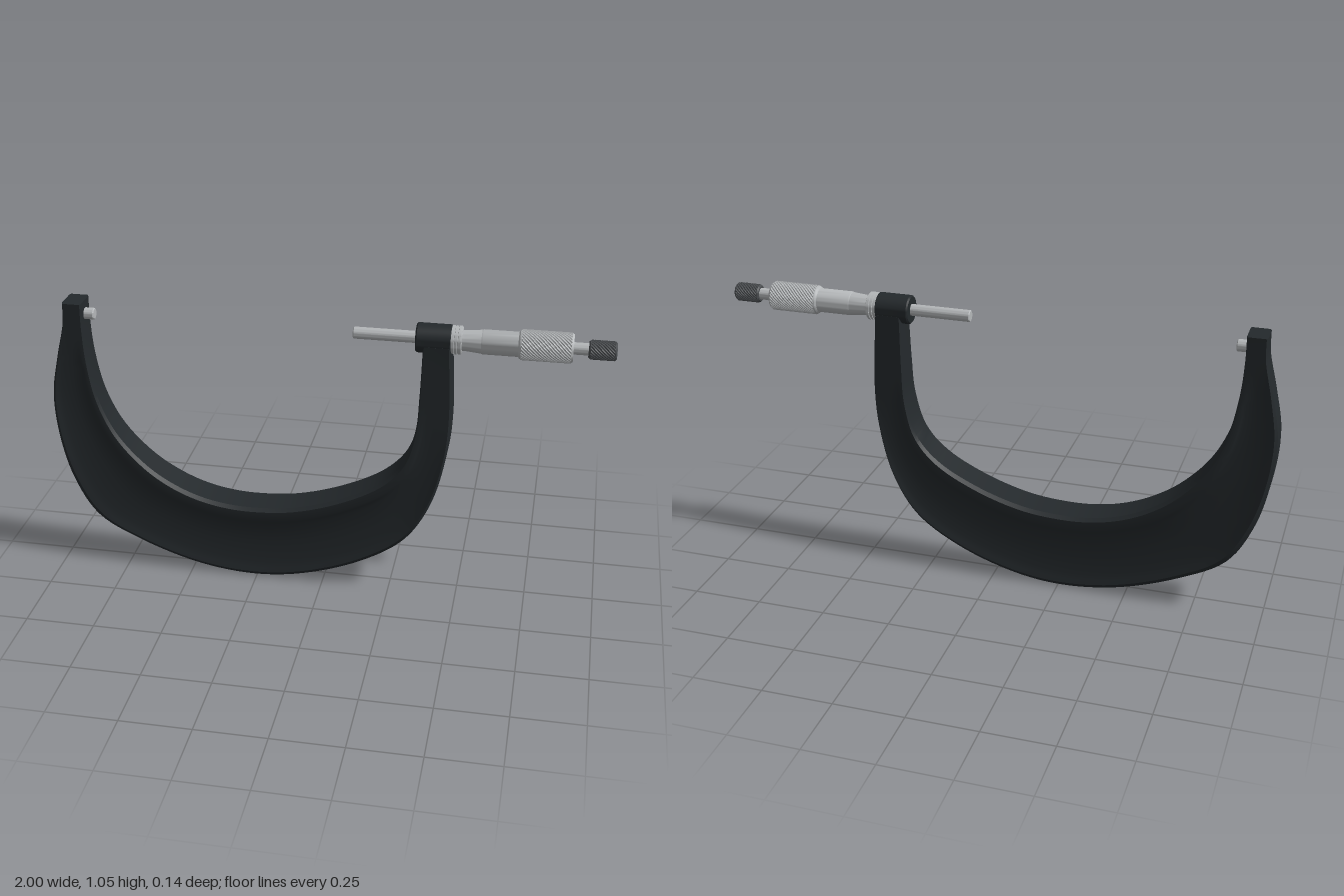
import * as THREE from 'three';
import { toCreasedNormals } from 'three/addons/utils/BufferGeometryUtils.js';

const AXIS_Y = 0.995;
const black = new THREE.MeshStandardMaterial({ color: 0x24292c });
const steel = new THREE.MeshStandardMaterial({ color: 0xb4b7b9 });
const darkGrey = new THREE.MeshStandardMaterial({ color: 0x4a4d50 });

// Paired stations along the bow: outer x, outer y, inner x, inner y
const STATIONS = [
  [-0.94, 1.045, -0.87, 1.045],
  [-0.943, 0.97, -0.87, 0.95],
  [-0.973, 0.84, -0.86, 0.82],
  [-1.0, 0.69, -0.828, 0.67],
  [-0.99, 0.52, -0.765, 0.54],
  [-0.945, 0.345, -0.66, 0.425],
  [-0.86, 0.2, -0.56, 0.358],
  [-0.7, 0.106, -0.46, 0.316],
  [-0.47, 0.026, -0.36, 0.295],
  [-0.257, 0.002, -0.257, 0.29],
  [-0.07, 0.026, -0.11, 0.304],
  [0.144, 0.104, 0.064, 0.358],
  [0.3, 0.21, 0.215, 0.44],
  [0.39, 0.355, 0.295, 0.53],
  [0.442, 0.55, 0.333, 0.66],
  [0.455, 0.71, 0.342, 0.79],
  [0.444, 0.98, 0.348, 0.98],
];

// Half section from inner to outer edge: position across, depth factor, recess factor
const SECTION = [
  [0, 0.8, 0], [0.04, 1, 0], [0.15, 1, 0], [0.19, 1, 0.4], [0.25, 1, 1],
  [0.5, 1, 1], [0.8, 1, 1], [0.88, 1, 0.4], [0.94, 1, 0], [1, 0.8, 0],
];

function frameGeometry(steps = 96) {
  const curve = (i) => new THREE.CatmullRomCurve3(
    STATIONS.map((s) => new THREE.Vector3(s[i], s[i + 1], 0)));
  const outer = curve(0), inner = curve(2);
  const loop = [
    ...SECTION.map((p) => [...p, 1]),
    ...SECTION.slice().reverse().map((p) => [...p, -1]),
  ];
  const n = loop.length, positions = [], index = [];
  for (let k = 0; k <= steps; k++) {
    const u = k / steps;
    const o = outer.getPoint(u), i = inner.getPoint(u);
    const half = 0.07 - 0.02 * THREE.MathUtils.smoothstep((o.y + i.y) / 2, 0.15, 1.05);
    const recess = 0.01 * THREE.MathUtils.smoothstep(Math.min(u, 1 - u), 0.06, 0.25);
    for (const [t, depth, cut, side] of loop) {
      const p = i.clone().lerp(o, t);
      positions.push(p.x, p.y, side * (half * depth - recess * cut));
    }
  }
  for (let k = 0; k < steps; k++) {
    for (let j = 0; j < n; j++) {
      const a = k * n + j, b = k * n + (j + 1) % n;
      index.push(a, b, b + n, a, b + n, a + n);
    }
  }
  // End caps
  const last = steps * n;
  for (let j = 1; j < n - 1; j++) {
    index.push(0, j + 1, j, last, last + j, last + j + 1);
  }
  const g = new THREE.BufferGeometry();
  g.setAttribute('position', new THREE.Float32BufferAttribute(positions, 3));
  g.setIndex(index);
  return toCreasedNormals(g, 0.5);
}

// Turned part along the x axis from [x, radius] points
function turned(name, points, material, segments = 40) {
  const profile = points.map(([x, r]) => new THREE.Vector2(r, x));
  const g = new THREE.LatheGeometry(profile, segments);
  g.rotateZ(-Math.PI / 2);
  const mesh = new THREE.Mesh(toCreasedNormals(g, 0.5), material);
  mesh.name = name;
  mesh.position.y = AXIS_Y;
  return mesh;
}

function rod(name, x0, x1, r, material, bevel = 0.003) {
  return turned(name, [[x0, 0], [x0, r - bevel], [x0 + bevel, r],
    [x1 - bevel, r], [x1, r - bevel], [x1, 0]], material);
}

// Grip with a diamond pattern of small raised points
function knurl(name, x0, x1, r, material, around, rows) {
  const g = new THREE.CylinderGeometry(r, r, x1 - x0, around, rows, true);
  const p = g.attributes.position;
  for (let k = 0; k < p.count; k++) {
    const row = Math.floor(k / (around + 1)), col = k % (around + 1);
    const s = (row + col) % 2 ? 1 : 1 - 0.003 / r;
    p.setX(k, p.getX(k) * s);
    p.setZ(k, p.getZ(k) * s);
  }
  g.rotateZ(-Math.PI / 2);
  const mesh = new THREE.Mesh(toCreasedNormals(g, 0.05), material);
  mesh.name = name;
  mesh.position.set((x0 + x1) / 2, AXIS_Y, 0);
  return mesh;
}

export function createModel() {
  const model = new THREE.Group();
  model.name = 'micrometer';

  const frame = new THREE.Mesh(frameGeometry(), black);
  frame.name = 'frame';
  model.add(frame);

  // Measuring faces and spindle support
  model.add(
    rod('anvil', -0.89, -0.835, 0.021, steel),
    rod('spindle', 0.1, 0.34, 0.021, steel),
    rod('hub', 0.32, 0.445, 0.052, black, 0.005),
  );

  // Lock ring with grooves
  const ring = [[0.44, 0], [0.44, 0.05]];
  for (let k = 0; k < 3; k++) {
    const x = 0.443 + k * 0.012;
    ring.push([x, 0.05], [x + 0.008, 0.05], [x + 0.009, 0.047], [x + 0.011, 0.047]);
  }
  ring.push([0.479, 0.046], [0.48, 0]);
  model.add(turned('lockRing', ring, steel));

  // Sleeve and thimble
  model.add(
    turned('sleeve', [[0.47, 0.036], [0.49, 0.036], [0.545, 0.041], [0.56, 0.041]], steel),
    turned('thimble', [[0.545, 0], [0.545, 0.041], [0.55, 0.043], [0.67, 0.043],
      [0.675, 0.049], [0.68, 0.051], [0.848, 0.051], [0.855, 0.047], [0.855, 0]], steel),
    knurl('thimbleGrip', 0.68, 0.848, 0.053, steel, 56, 28),
  );

  // Ratchet stop
  model.add(
    rod('ratchetStem', 0.85, 0.91, 0.021, steel),
    rod('ratchetKnob', 0.905, 1.0, 0.032, darkGrey, 0.005),
    knurl('ratchetGrip', 0.912, 0.993, 0.034, darkGrey, 40, 14),
  );

  return model;
}
